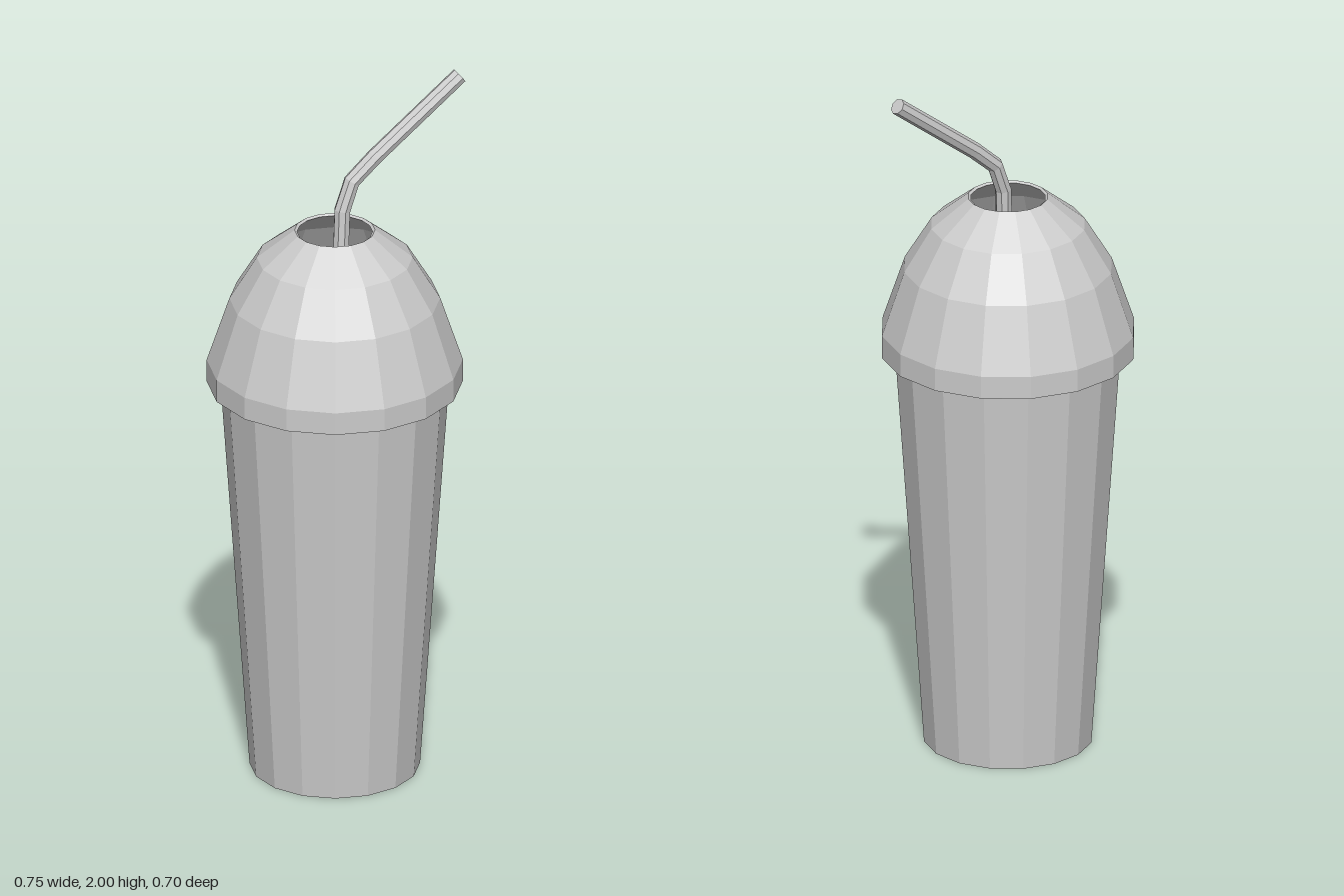
import * as THREE from 'three';

const SIDES = 16;
const CENTER_X = -0.03;

const makeMaterial = () => new THREE.MeshStandardMaterial({
  color: 0xcccccc, flatShading: true, side: THREE.DoubleSide,
});

// Revolve a [radius, height] profile into a faceted shell
function lathe(name, profile) {
  const points = profile.map(([r, y]) => new THREE.Vector2(r, y));
  const mesh = new THREE.Mesh(new THREE.LatheGeometry(points, SIDES), makeMaterial());
  mesh.name = name;
  mesh.position.x = CENTER_X;
  return mesh;
}

// Bend a capped cylinder along a path: one ring of vertices per path point
function bentRod(name, path, radius, sides) {
  const pts = path.map((p) => new THREE.Vector3(...p));
  const last = pts.length - 1;
  const up = new THREE.Vector3(0, 1, 0);
  const frames = pts.map((p, i) => {
    const dir = new THREE.Vector3();
    if (i > 0) dir.add(p.clone().sub(pts[i - 1]).normalize());
    if (i < last) dir.add(pts[i + 1].clone().sub(p).normalize());
    return new THREE.Quaternion().setFromUnitVectors(up, dir.normalize());
  });
  const geo = new THREE.CylinderGeometry(radius, radius, last, sides, last);
  const pos = geo.attributes.position;
  const v = new THREE.Vector3();
  for (let k = 0; k < pos.count; k++) {
    v.fromBufferAttribute(pos, k);
    const i = Math.round(v.y + last / 2);
    v.setY(0).applyQuaternion(frames[i]).add(pts[i]);
    pos.setXYZ(k, v.x, v.y, v.z);
  }
  geo.computeVertexNormals();
  const mesh = new THREE.Mesh(geo, makeMaterial());
  mesh.name = name;
  return mesh;
}

export function createModel() {
  const model = new THREE.Group();
  model.name = 'drinkCup';

  // Tapered hollow cup with a thin wall and flat floor
  model.add(lathe('cup', [
    [0, 0], [0.233, 0], [0.316, 1.2], [0.31, 1.2], [0.228, 0.008], [0, 0.008],
  ]));

  // Domed lid: overhanging skirt, faceted dome, open hole at the top
  model.add(lathe('domeLid', [
    [0.35, 1.15], [0.35, 1.215], [0.288, 1.4], [0.213, 1.523], [0.11, 1.605],
    [0.103, 1.6], [0.207, 1.517], [0.281, 1.396], [0.342, 1.213], [0.342, 1.15],
    [0.35, 1.15],
  ]));

  // Bent straw reaching down to the cup floor
  model.add(bentRod('straw', [
    [-0.08, 0.02, 0.035], [0.005, 1.645, -0.03], [0.035, 1.725, -0.035],
    [0.103, 1.785, -0.037], [0.36, 1.98, -0.048],
  ], 0.023, 8));

  return model;
}
